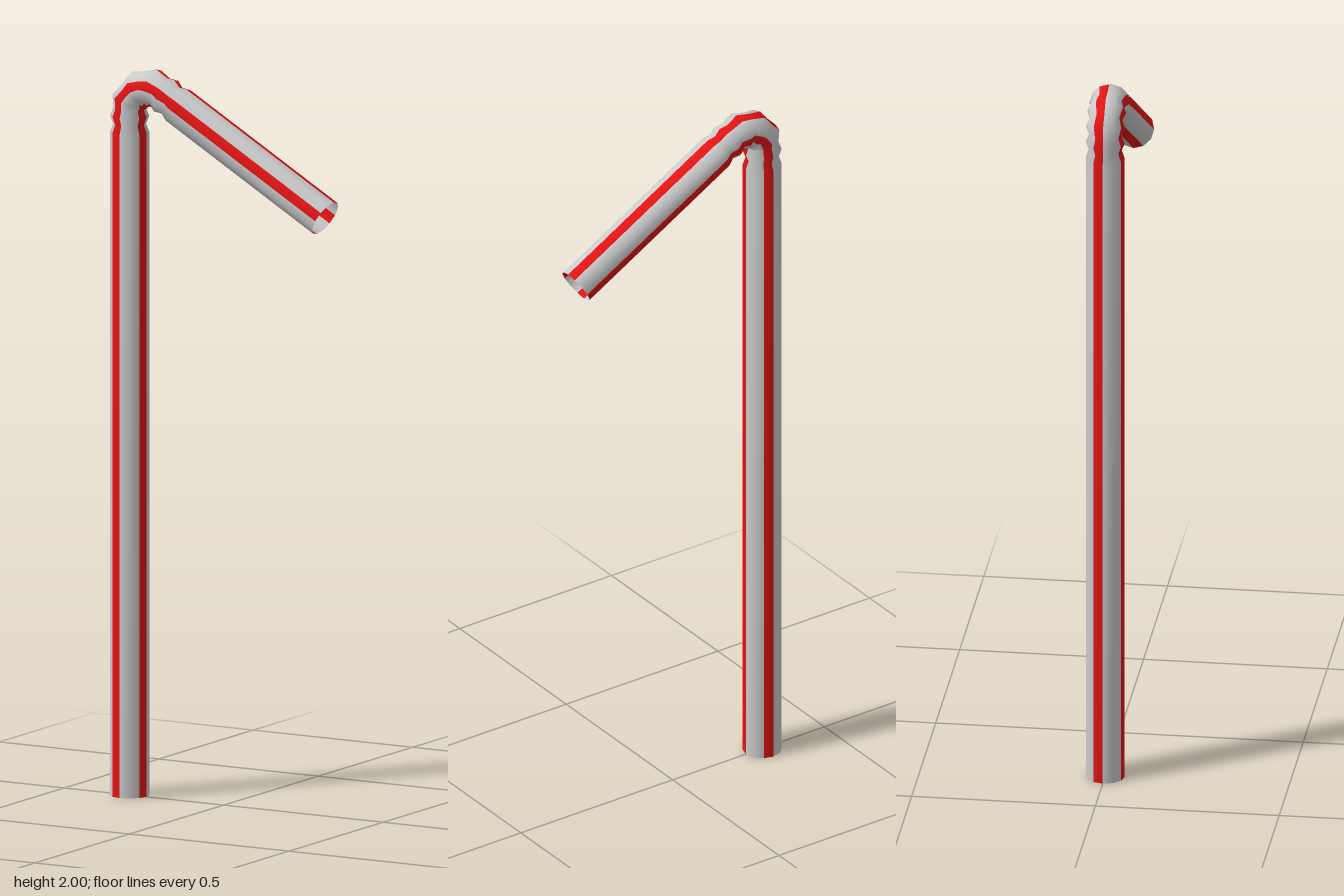
import * as THREE from 'three';

const SIDES = 12;
const RADIUS = 0.053, VALLEY = 0.0445;         // tube and corrugation valley radii
const STEM_X = -0.295, BEND_Y = 1.883;         // where the bend begins
const BEND_R = 0.064, BEND = (Math.PI * 2) / 3; // bend radius and angle
const ARC = BEND_R * BEND, ARM = 0.597;
const FIRST = -0.063, PITCH = 0.0436, RIDGES = 6; // corrugations along the axis

// Axis point and bend angle at distance s from the start of the bend
function axisAt(s) {
  const a = THREE.MathUtils.clamp(s / BEND_R, 0, BEND);
  const extra = s < 0 ? s : Math.max(0, s - ARC);
  return {
    a,
    x: STEM_X + BEND_R * (1 - Math.cos(a)) + extra * Math.sin(a),
    y: BEND_Y + BEND_R * Math.sin(a) + extra * Math.cos(a),
  };
}

export function createModel() {
  // Rings: stem foot, zigzag corrugations, arm tip
  const rings = [[-BEND_Y, RADIUS]];
  for (let i = 0; i <= RIDGES * 2; i++) {
    rings.push([FIRST + (i * PITCH) / 2, i % 2 ? VALLEY : RADIUS]);
  }
  rings.push([ARC + ARM, RADIUS]);

  const positions = [];
  for (const [s, r] of rings) {
    const { a, x, y } = axisAt(s);
    for (let j = 0; j < SIDES; j++) {
      const phi = (j / SIDES) * Math.PI * 2;
      const out = r * Math.cos(phi);
      positions.push(x - out * Math.cos(a), y + out * Math.sin(a), -r * Math.sin(phi));
    }
  }

  // Every third side is a stripe
  const plain = [], stripes = [];
  for (let i = 0; i < rings.length - 1; i++) {
    for (let j = 0; j < SIDES; j++) {
      const k = (j + 1) % SIDES;
      const a = i * SIDES + j, b = a + SIDES, c = i * SIDES + k, d = c + SIDES;
      (j % 3 === 0 ? stripes : plain).push(a, b, c, c, b, d);
    }
  }

  // Both parts share the smooth normals of the whole tube
  const whole = new THREE.BufferGeometry();
  whole.setAttribute('position', new THREE.Float32BufferAttribute(positions, 3));
  whole.setIndex([...plain, ...stripes]);
  whole.computeVertexNormals();

  const group = new THREE.Group();
  group.name = 'bendyStraw';
  const addPart = (name, index, color) => {
    const geometry = whole.clone();
    geometry.setIndex(index);
    const mesh = new THREE.Mesh(
      geometry,
      new THREE.MeshStandardMaterial({ color, side: THREE.DoubleSide })
    );
    mesh.name = name;
    group.add(mesh);
  };
  addPart('strawTube', plain, 0xcccccc);
  addPart('redStripes', stripes, 0xe41414);
  return group;
}
